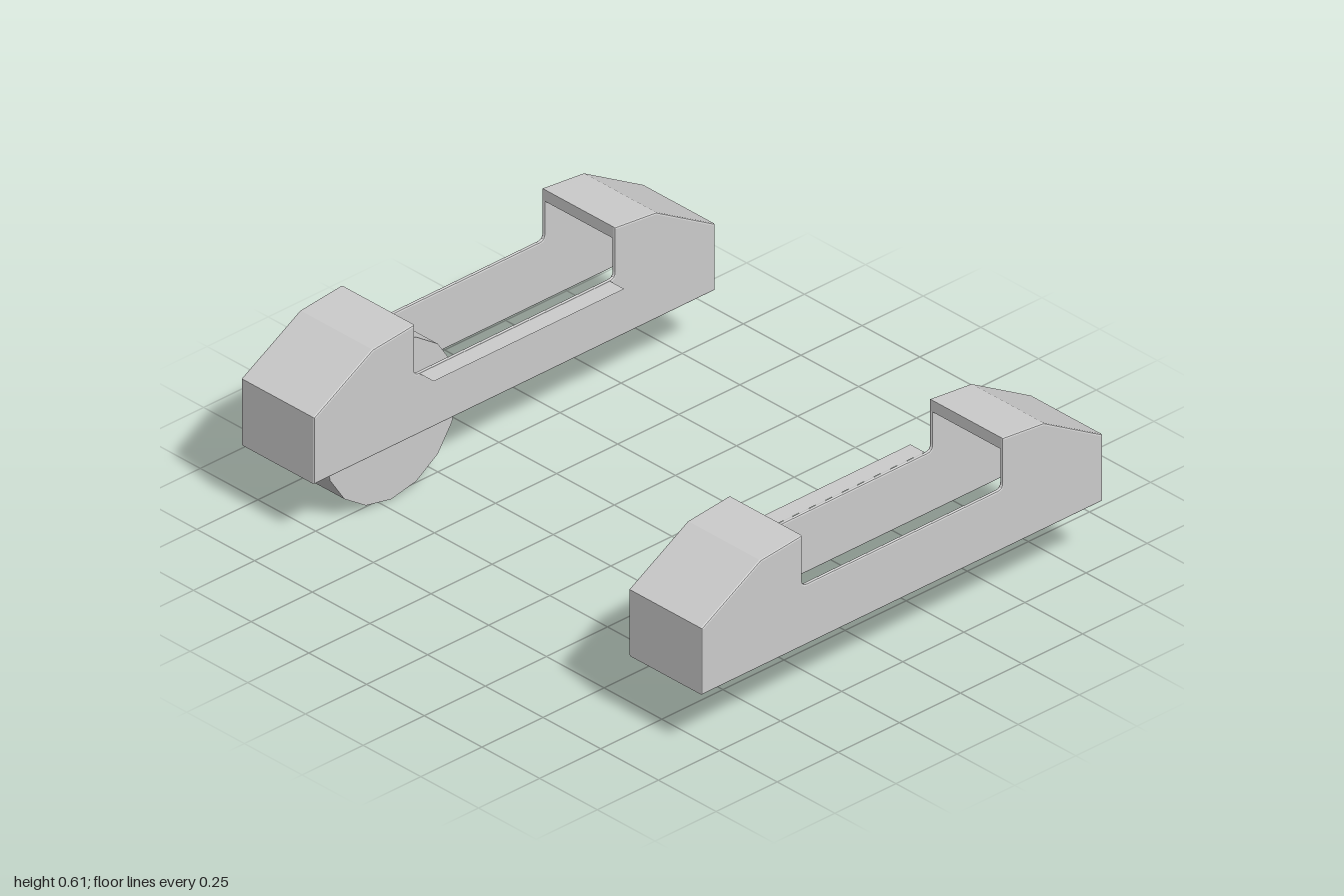
import * as THREE from 'three';

const material = new THREE.MeshStandardMaterial({ color: 0xcccccc, flatShading: true });
const thin = new THREE.MeshStandardMaterial({ color: 0xcccccc, side: THREE.DoubleSide });

function part(name, geometry, mat = material) {
  const mesh = new THREE.Mesh(geometry, mat);
  mesh.name = name;
  return mesh;
}

// Extrude a (z, y) outline across x, centred on x = 0
function acrossX(shape, width, bevel = 0) {
  const geometry = new THREE.ExtrudeGeometry(shape, {
    depth: width - 2 * bevel, curveSegments: 4,
    bevelEnabled: bevel > 0, bevelThickness: bevel, bevelSize: bevel,
    bevelOffset: -bevel, bevelSegments: 2,
  });
  geometry.translate(0, 0, -width / 2 + bevel);
  return geometry.rotateY(-Math.PI / 2);
}

// Side wall: raised at both ends, low in the middle
function wallShape() {
  const s = new THREE.Shape();
  s.moveTo(-0.82, 0.22);
  s.lineTo(0.82, 0.22);
  s.lineTo(0.82, 0.45);
  s.lineTo(0.58, 0.588);
  s.lineTo(0.41, 0.605);
  s.lineTo(0.41, 0.45);
  s.quadraticCurveTo(0.41, 0.43, 0.39, 0.43);
  s.lineTo(-0.39, 0.43);
  s.quadraticCurveTo(-0.41, 0.43, -0.41, 0.45);
  s.lineTo(-0.41, 0.605);
  s.lineTo(-0.58, 0.588);
  s.lineTo(-0.82, 0.45);
  s.closePath();
  return s;
}

// Hood skin: end wall, slope, top and a short lip, open below
function hoodShape() {
  return new THREE.Shape([
    [0.82, 0.22], [0.82, 0.45], [0.58, 0.588], [0.41, 0.605], [0.41, 0.565],
    [0.422, 0.565], [0.422, 0.592], [0.577, 0.576], [0.808, 0.443], [0.808, 0.22],
  ].map(([z, y]) => new THREE.Vector2(z, y)));
}

function createPod(side) {
  const pod = new THREE.Group();
  pod.name = side > 0 ? 'leftPod' : 'rightPod';

  for (const s of [1, -1]) {
    const wall = part(s === side ? 'outerWall' : 'innerWall', acrossX(wallShape(), 0.014, 0.006));
    wall.position.x = s * 0.152;
    pod.add(wall);

    const hood = part(s > 0 ? 'frontHood' : 'rearHood', acrossX(hoodShape(), 0.306));
    if (s < 0) hood.rotation.y = Math.PI;
    pod.add(hood);
  }

  // Flat ledge on the inner side
  const ledge = part('innerLedge', new THREE.PlaneGeometry(0.062, 0.78).rotateX(-Math.PI / 2), thin);
  ledge.position.set(-side * 0.189, 0.428, 0);
  pod.add(ledge);

  pod.position.x = side * 0.84;
  return pod;
}

// Sixteen-sided wheel: closed on the inner face, hollow on the outer face
function createWheel() {
  const profile = [[0, 0.115], [0.27, 0.115], [0.27, -0.115], [0.225, -0.115], [0.225, -0.02], [0, -0.02]]
    .map(([r, h]) => new THREE.Vector2(r, h)).reverse();
  const geometry = new THREE.LatheGeometry(profile, 16);
  geometry.rotateZ(-Math.PI / 2);
  const wheel = part('wheel', geometry);
  wheel.position.set(-0.845, 0.27, 0.46);
  return wheel;
}

export function createModel() {
  const model = new THREE.Group();
  model.name = 'wheelPods';
  model.add(createPod(1), createPod(-1), createWheel());
  return model;
}
